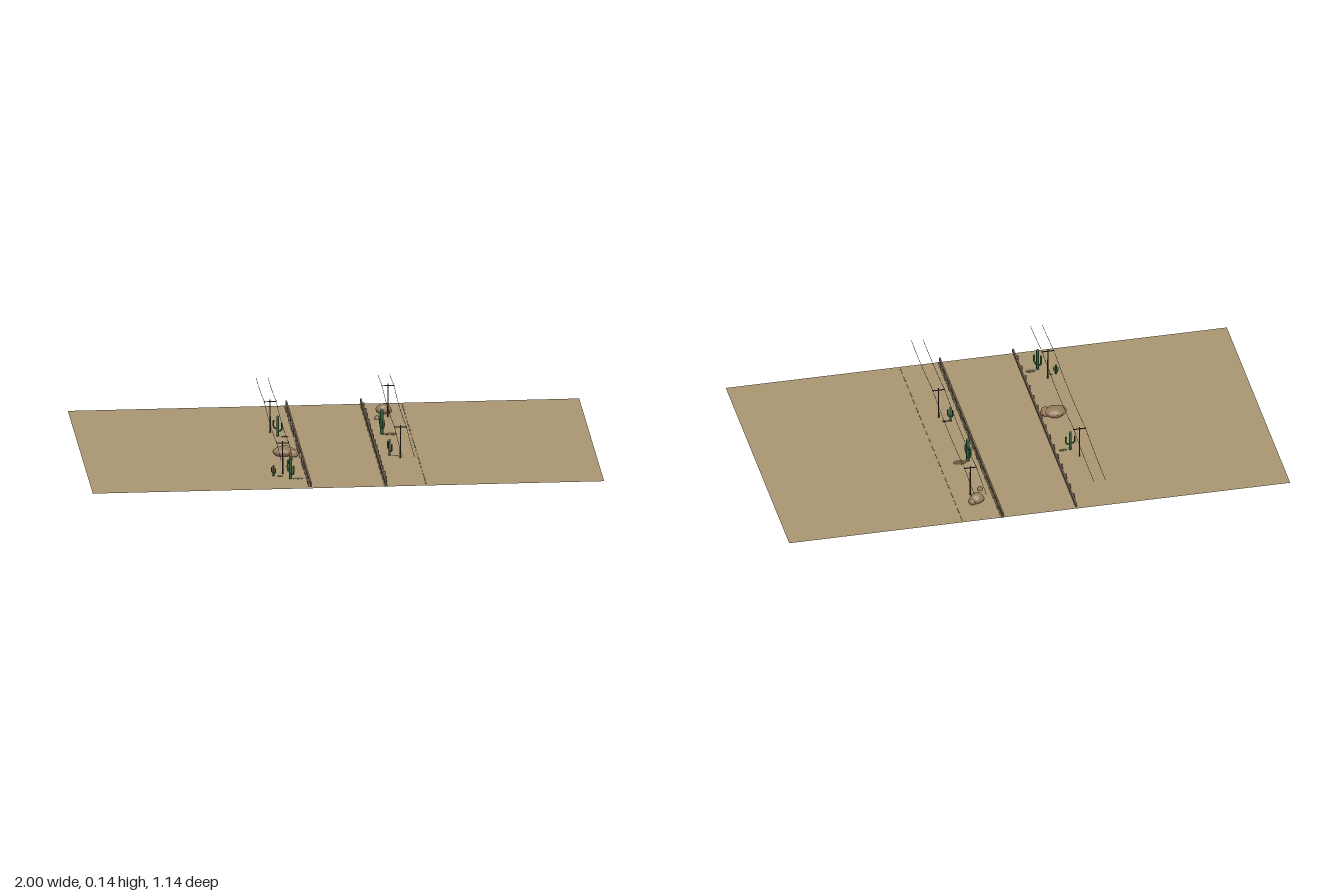
import * as THREE from 'three';

const GROUND = 0.007, HALF_Z = 0.57;
const mat = (name, color) => {
  const m = new THREE.MeshStandardMaterial({ color });
  m.name = name;
  return m;
};

export function createModel() {
  const root = new THREE.Group();
  root.name = 'desertRoadside';
  const sand = mat('sand', 0xa89470);
  sand.side = THREE.DoubleSide;
  const metal = mat('weatheredRail', 0x86735f);
  const wood = mat('darkWood', 0x463a2e);
  const wireMat = mat('blackWire', 0x1c1c1c);
  const green = mat('cactusGreen', 0x2f5c3a);
  const stone = mat('rock', 0x93795a);
  stone.flatShading = true;
  const shade = mat('darkEarth', 0x62563f);

  const add = (parent, name, geo, material, x = 0, y = 0, z = 0) => {
    const m = new THREE.Mesh(geo, material);
    m.name = name;
    m.position.set(x, y, z);
    parent.add(m);
    return m;
  };
  const group = (name, x, y, z) => {
    const g = new THREE.Group();
    g.name = name;
    g.position.set(x, y, z);
    root.add(g);
    return g;
  };
  const box = (w, h, d) => new THREE.BoxGeometry(w, h, d);

  // Ground sheet
  const ground = add(root, 'ground', new THREE.PlaneGeometry(2, HALF_Z * 2), sand, 0, GROUND, 0);
  ground.rotation.x = -Math.PI / 2;

  // Roadside rails: beam towards the road, posts outside
  for (const side of [-1, 1]) {
    const rail = group('rail', side * 0.146, 0, 0);
    add(rail, 'railBeam', box(0.006, 0.013, HALF_Z * 2), metal, 0, 0.0215, 0);
    for (let i = -7; i <= 7; i++) {
      add(rail, 'railPost', box(0.006, 0.025, 0.007), metal, side * 0.006, 0.0185, 0.005 + i * 0.0722);
    }
  }

  // Dark earth strips and patches lying on the ground
  add(root, 'groundStrip', box(0.014, 0.002, HALF_Z * 2), shade, 0.148, GROUND, 0);
  for (let i = 0; i < 20; i++) {
    const z = -0.54 + i * 0.0568;
    add(root, 'groundDash', box(0.004, 0.002, 0.036), shade, 0.306, GROUND, z);
    add(root, 'railDash', box(0.008, 0.002, 0.028), shade, -0.151, GROUND, z);
  }
  const patches = [[0.225, -0.148, 0.028, 0.016], [-0.187, -0.148, 0.016, 0.007],
    [-0.186, 0.432, 0.02, 0.01], [-0.252, 0.392, 0.012, 0.006], [0.215, 0.153, 0.014, 0.006]];
  for (const [x, z, rx, rz] of patches) {
    add(root, 'groundPatch', new THREE.CylinderGeometry(1, 1, 0.002, 10), shade, x, GROUND, z).scale.set(rx, 1, rz);
  }

  // Utility poles with crossarms, and sagging wires along z
  const SPAN = 0.57;
  const wireY = (z, poleZ) => {
    const t = (((z - poleZ) / SPAN) % 1 + 1) % 1;
    return 0.136 - 0.06 * t * (1 - t);
  };
  for (const [x, poleZ] of [[-0.24, 0.365], [0.236, 0.185]]) {
    for (const z of [poleZ, poleZ - SPAN]) {
      const pole = group('utilityPole', x, GROUND, z);
      add(pole, 'poleShaft', new THREE.CylinderGeometry(0.002, 0.0028, 0.134, 8), wood, 0, 0.067, 0);
      add(pole, 'crossarm', box(0.05, 0.003, 0.003), wood, 0, 0.126, 0);
      for (const s of [-1, 1]) {
        add(pole, 'insulator', new THREE.CylinderGeometry(0.0012, 0.0012, 0.004, 6), wood, s * 0.0232, 0.129, 0);
      }
    }
    for (const s of [-1, 1]) {
      const pts = [];
      for (let i = 0; i <= 48; i++) {
        const z = -HALF_Z + (i / 48) * HALF_Z * 2;
        pts.push(new THREE.Vector3(x + s * 0.0232, wireY(z, poleZ), z));
      }
      add(root, 'wire', new THREE.TubeGeometry(new THREE.CatmullRomCurve3(pts), 96, 0.0008, 5), wireMat);
    }
  }

  // Cacti: rounded trunk with upturned arms
  // arm = [side, start height, reach, tip height], as fractions of the height
  const cactus = (x, z, h, r, turn, arms) => {
    const g = group('cactus', x, GROUND - 0.001, z);
    g.rotation.y = turn;
    add(g, 'cactusTrunk', new THREE.CapsuleGeometry(r, h - 2 * r, 4, 10), green, 0, h / 2, 0);
    for (const [s, start, reach, tip] of arms) {
      const path = new THREE.CatmullRomCurve3([
        [0, start], [0.65 * reach, start], [reach, start + 0.09], [reach, tip],
      ].map(([a, b]) => new THREE.Vector3(0, b * h, s * a * h)));
      add(g, 'cactusArm', new THREE.TubeGeometry(path, 12, r * 0.65, 8), green);
      add(g, 'armTip', new THREE.SphereGeometry(r * 0.65, 8, 6), green, 0, tip * h, s * reach * h);
    }
  };
  cactus(-0.215, 0.435, 0.095, 0.006, 0.5, [[1, 0.25, 0.22, 0.6], [-1, 0.3, 0.2, 0.75]]);
  cactus(-0.278, 0.39, 0.045, 0.0035, 0.9, [[1, 0.3, 0.2, 0.7], [-1, 0.35, 0.2, 0.75]]);
  cactus(-0.215, -0.152, 0.085, 0.005, 1.2, [[1, 0.3, 0.2, 0.65], [-1, 0.4, 0.2, 0.75]]);
  cactus(0.192, -0.145, 0.105, 0.007, 0.2, [[1, 0.3, 0.22, 0.6], [-1, 0.25, 0.2, 0.68]]);
  cactus(0.197, 0.147, 0.068, 0.0045, 0.6, [[1, 0.3, 0.2, 0.7], [-1, 0.4, 0.18, 0.8]]);

  // Boulders: spheres pushed in and out by a smooth rule
  const rock = (x, z, rx, ry, rz, y, seed) => {
    const geo = new THREE.IcosahedronGeometry(1, 2);
    const p = geo.attributes.position, v = new THREE.Vector3();
    for (let i = 0; i < p.count; i++) {
      v.fromBufferAttribute(p, i);
      const k = 0.94 + 0.06 * Math.sin(v.x * 3.1 + seed) * Math.cos(v.z * 3.7 + seed * 2) + 0.04 * Math.sin(v.y * 5 + seed);
      p.setXYZ(i, v.x * k * rx, v.y * k * ry, v.z * k * rz);
    }
    geo.computeVertexNormals();
    add(root, 'boulder', geo, stone, x, y, z);
  };
  rock(-0.213, 0.105, 0.046, 0.024, 0.036, 0.022, 1);
  rock(-0.178, 0.118, 0.024, 0.018, 0.026, 0.017, 4);
  rock(0.222, -0.437, 0.03, 0.025, 0.026, 0.023, 2);
  rock(0.24, -0.445, 0.018, 0.015, 0.018, 0.016, 5);
  rock(0.191, -0.357, 0.011, 0.011, 0.011, 0.011, 3);

  return root;
}
